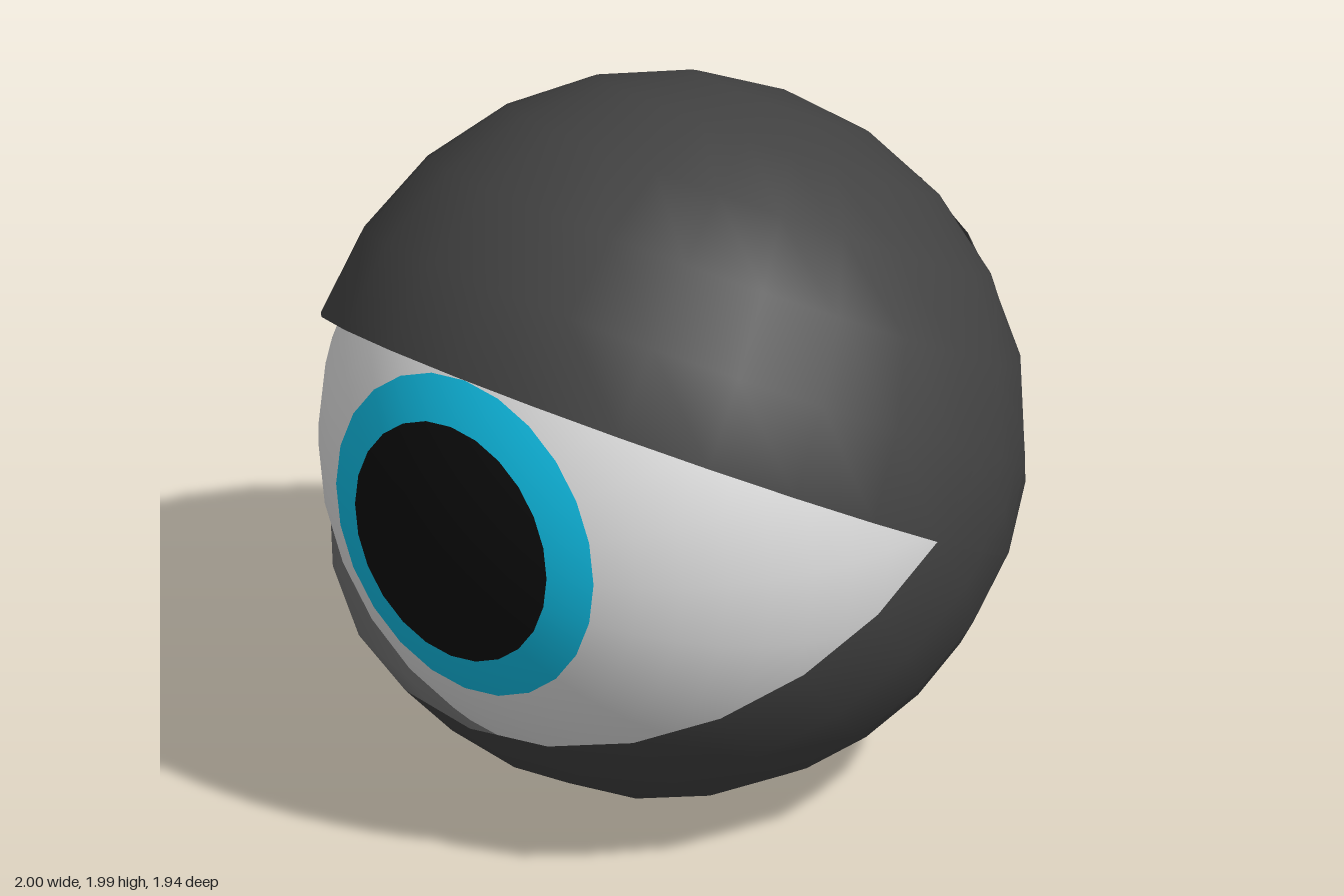
import * as THREE from 'three';

const rad = THREE.MathUtils.degToRad;

function material(name, color, side = THREE.FrontSide) {
  const m = new THREE.MeshStandardMaterial({ color, side });
  m.name = name;
  return m;
}

export function createModel() {
  const lidColour = material('charcoal', 0x424242, THREE.DoubleSide);
  const white = material('eyeWhite', 0xe2e2e2);
  const blue = material('irisBlue', 0x10c0e8);
  const black = material('pupilBlack', 0x0d0d0d);

  const eye = new THREE.Group();
  eye.name = 'eye';
  eye.position.set(0, 0.993, 0.027);

  // Eyeball: bands of one sphere whose pole looks along +z
  function band(name, mat, from, to, rows) {
    const geo = new THREE.SphereGeometry(0.945, 24, rows, 0, Math.PI * 2, rad(from), rad(to - from));
    geo.rotateX(Math.PI / 2);
    const mesh = new THREE.Mesh(geo, mat);
    mesh.name = name;
    eye.add(mesh);
  }
  band('pupil', black, 0, 21.7, 3);
  band('iris', blue, 21.7, 29.8, 1);
  band('eyeWhite', white, 29.8, 180, 20);

  // Eyelids: open half shells hinged on the x axis
  function lid(name, tilt) {
    const geo = new THREE.SphereGeometry(1, 24, 6, 0, Math.PI * 2, 0, Math.PI / 2);
    const mesh = new THREE.Mesh(geo, lidColour);
    mesh.name = name;
    mesh.rotation.x = rad(tilt);
    eye.add(mesh);
  }
  lid('upperEyelid', -30);
  lid('lowerEyelid', 180 + 37);

  const model = new THREE.Group();
  model.name = 'eyeballWithLids';
  model.add(eye);
  return model;
}
